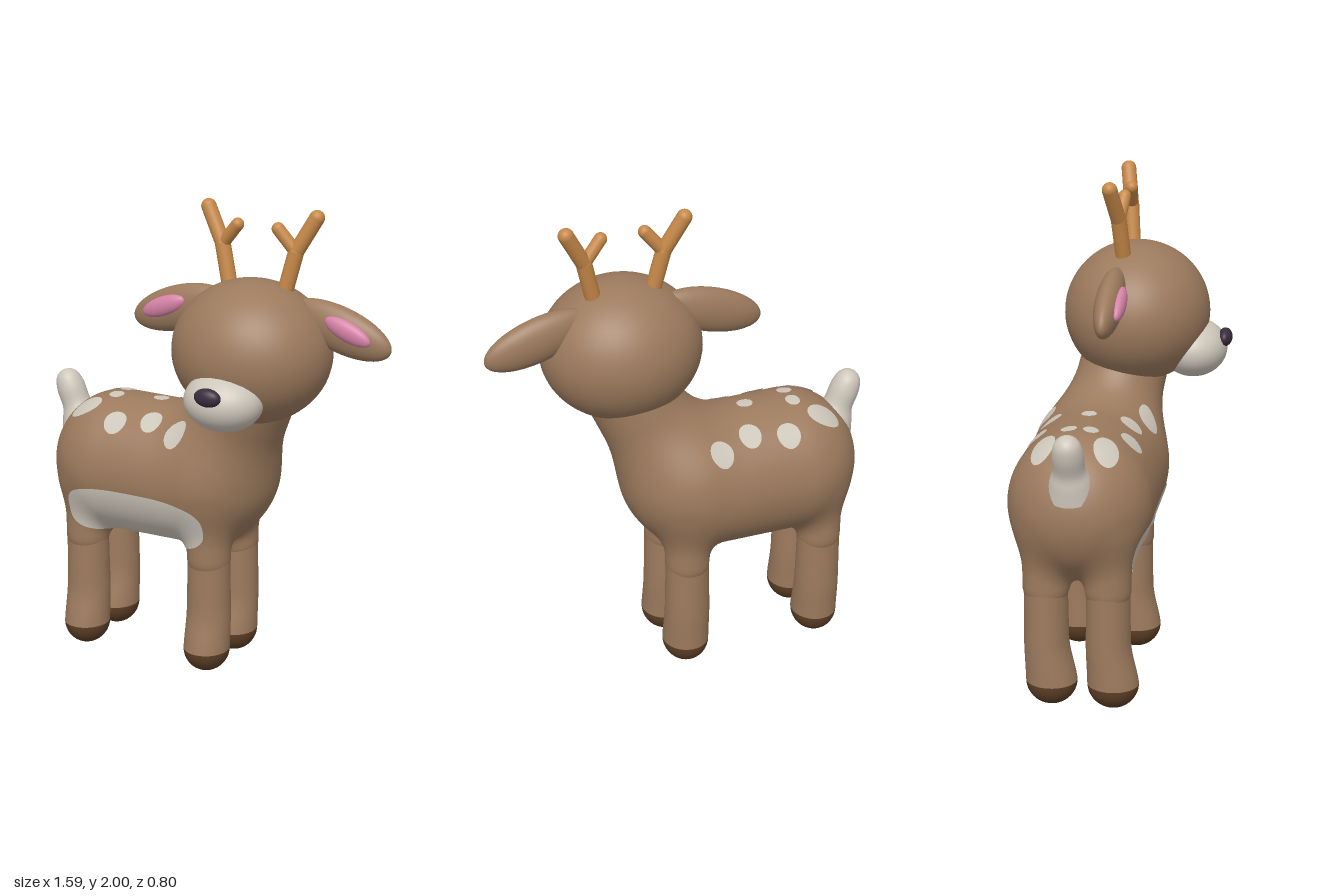
import * as THREE from 'three';

const V = (x, y, z) => new THREE.Vector3(x, y, z);
const mat = (name, color, side = THREE.FrontSide) => {
  const m = new THREE.MeshStandardMaterial({ color, side });
  m.name = name;
  return m;
};
const LEG_X = { rear: -0.57, front: 0.028 };
const LEG_Z = { left: 0.008, right: -0.24 };
const HEAD_X = 0.22;
const MID_Z = -0.118;

// ---- Torso form: a barrel, a neck and four leg roots blended smoothly ----
const smin = (a, b, k) => {
  const h = Math.max(k - Math.abs(a - b), 0) / k;
  return Math.min(a, b) - h * h * k * 0.25;
};
function taperedCapsule(x, y, z, a, b, ra, rb) {
  const dx = b.x - a.x, dy = b.y - a.y, dz = b.z - a.z;
  const px = x - a.x, py = y - a.y, pz = z - a.z;
  const t = Math.min(1, Math.max(0, (px * dx + py * dy + pz * dz) / (dx * dx + dy * dy + dz * dz)));
  return Math.hypot(px - t * dx, py - t * dy, pz - t * dz) - (ra + (rb - ra) * t);
}
const RUMP = V(-0.465, 0, MID_Z), CHEST = V(-0.05, 0, MID_Z);
const NECK_LOW = V(0.045, 0.9, -0.11), NECK_TOP = V(0.23, 1.3, -0.03);
const LEG_ROOTS = Object.values(LEG_X).flatMap(x => Object.values(LEG_Z).map(z => [V(x, 0.5, z), V(x, 0.72, z)]));

function torsoField(x, y, z) {
  let d = taperedCapsule(x, (y - 0.82) / 1.04, z, RUMP, CHEST, 0.287, 0.283);
  d = smin(d, taperedCapsule(x, y, z, NECK_LOW, NECK_TOP, 0.19, 0.18), 0.15);
  for (const [a, b] of LEG_ROOTS) d = smin(d, taperedCapsule(x, y, z, a, b, 0.092, 0.092), 0.06);
  return d;
}
function torsoNormal(x, y, z) {
  const e = 0.002, f = torsoField;
  return V(f(x + e, y, z) - f(x - e, y, z), f(x, y + e, z) - f(x, y - e, z), f(x, y, z + e) - f(x, y, z - e)).normalize();
}

function indexedGeometry(positions, normals, index) {
  const g = new THREE.BufferGeometry();
  g.setAttribute('position', new THREE.Float32BufferAttribute(positions, 3));
  g.setAttribute('normal', new THREE.Float32BufferAttribute(normals, 3));
  g.setIndex(index);
  return g;
}

// Turns the blended form into a mesh: one vertex per crossed cell, one quad per crossed edge
function torsoGeometry() {
  const s = 0.02, o = [-0.84, 0.36, -0.5], n = [68, 59, 40];
  const step = [1, n[0], n[0] * n[1]];
  const field = new Float32Array(n[0] * n[1] * n[2]);
  const each = fn => {
    for (let k = 0; k < n[2]; k++) for (let j = 0; j < n[1]; j++) for (let i = 0; i < n[0]; i++)
      fn([i, j, k], i + j * step[1] + k * step[2]);
  };
  each((c, id) => { field[id] = torsoField(o[0] + c[0] * s, o[1] + c[1] * s, o[2] + c[2] * s); });

  const positions = [], normals = [], index = [], cell = new Map();
  each((c, id) => {
    if (c.some((v, a) => v >= n[a] - 1)) return;
    const sum = [0, 0, 0];
    let hits = 0;
    for (let corner = 0; corner < 8; corner++) for (let a = 0; a < 3; a++) {
      if (corner >> a & 1) continue;
      const bits = [corner & 1, corner >> 1 & 1, corner >> 2 & 1];
      const from = id + bits[0] + bits[1] * step[1] + bits[2] * step[2];
      const f0 = field[from], f1 = field[from + step[a]];
      if ((f0 < 0) === (f1 < 0)) continue;
      bits[a] = f0 / (f0 - f1);
      bits.forEach((v, q) => { sum[q] += v; });
      hits++;
    }
    if (!hits) return;
    const p = V(...sum.map((v, q) => o[q] + (c[q] + v / hits) * s));
    const normal = torsoNormal(p.x, p.y, p.z);
    p.addScaledVector(normal, -torsoField(p.x, p.y, p.z));
    cell.set(id, positions.length / 3);
    positions.push(p.x, p.y, p.z);
    normals.push(normal.x, normal.y, normal.z);
  });
  each((c, id) => {
    for (let a = 0; a < 3; a++) {
      const b = (a + 1) % 3, d = (a + 2) % 3;
      if (c[a] >= n[a] - 1 || !c[b] || !c[d]) continue;
      const inside = field[id] < 0;
      if (inside === (field[id + step[a]] < 0)) continue;
      const q = [id - step[b] - step[d], id - step[d], id, id - step[b]].map(v => cell.get(v));
      if (q.some(v => v === undefined)) continue;
      if (!inside) q.reverse();
      index.push(q[0], q[1], q[2], q[0], q[2], q[3]);
    }
  });
  return indexedGeometry(positions, normals, index);
}

// A rounded patch dropped onto the torso along a direction, lying just above it
function patchGeometry(center, uAxis, vAxis, dir, power = 2, rings = 5, seg = 28) {
  const positions = [], normals = [], index = [];
  const bend = v => Math.sign(v) * Math.abs(v) ** (2 / power);
  for (let r = 0; r <= rings; r++) for (let i = 0; i < seg; i++) {
    const t = i / seg * Math.PI * 2;
    const p = center.clone().addScaledVector(uAxis, bend(Math.cos(t)) * r / rings)
      .addScaledVector(vAxis, bend(Math.sin(t)) * r / rings);
    for (let k = 0; k < 80; k++) p.addScaledVector(dir, torsoField(p.x, p.y, p.z) * 0.8);
    const normal = torsoNormal(p.x, p.y, p.z);
    p.addScaledVector(normal, 0.004);
    positions.push(p.x, p.y, p.z);
    normals.push(normal.x, normal.y, normal.z);
    if (r === rings) continue;
    const a = r * seg + i, b = r * seg + (i + 1) % seg;
    index.push(a, a + seg, b + seg, a, b + seg, b);
  }
  return indexedGeometry(positions, normals, index);
}

export function createModel() {
  const fur = mat('brown fur', 0x9c7a5d);
  const cream = mat('cream fur', 0xcdc6ba, THREE.DoubleSide);
  const pink = mat('pink inner ear', 0xd582a6);
  const horn = mat('antler tan', 0xc68848);
  const hoofBrown = mat('dark hoof', 0x5c3e25);
  const noseDark = mat('nose dark', 0x3a2c3c);

  const model = new THREE.Group();
  model.name = 'fawn';
  const add = (name, geometry, material, parent = model) => {
    const m = new THREE.Mesh(geometry, material);
    m.name = name;
    parent.add(m);
    return m;
  };
  const ellipsoid = (name, material, c, r, tilt = 0, parent = model) => {
    const m = add(name, new THREE.SphereGeometry(1, 48, 32), material, parent);
    m.position.set(...c);
    m.scale.set(...r);
    m.rotation.z = tilt;
    return m;
  };

  // Torso with neck
  add('torso', torsoGeometry(), fur);

  // Legs swing slightly forward at the foot and end in rounded hooves
  for (const [end, x] of Object.entries(LEG_X)) for (const [side, z] of Object.entries(LEG_Z)) {
    const leg = new THREE.Group();
    leg.name = `${end}${side === 'left' ? 'Left' : 'Right'}Leg`;
    leg.position.set(x, 0, z);
    model.add(leg);
    const g = new THREE.CylinderGeometry(0.09, 0.097, 0.42, 36, 14, true).translate(0, 0.31, 0);
    const p = g.attributes.position;
    for (let i = 0; i < p.count; i++) {
      const foot = 1 - THREE.MathUtils.smoothstep(p.getY(i), 0.07, 0.28);
      p.setZ(i, p.getZ(i) * (0.95 + 0.12 * foot) + 0.02 * foot);
    }
    g.computeVertexNormals();
    add('shank', g, fur, leg);
    const hoof = add('hoof', new THREE.SphereGeometry(1, 36, 14, 0, Math.PI * 2, Math.PI / 2, Math.PI / 2), hoofBrown, leg);
    hoof.position.set(0, 0.1, 0.019);
    hoof.scale.set(0.097, 0.1, 0.103);
  }

  // Pale flank patch on the near side
  add('bellyPatch', patchGeometry(V(-0.268, 0.656, 0.35), V(0.325, 0, 0), V(0, 0.122, 0), V(0, 0, -1), 2.9, 28, 80), cream);

  // Back spots: x, z, half width, half depth
  const spots = [
    [-0.565, 0, 0.068, 0.048], [-0.385, 0.068, 0.05, 0.04], [-0.225, 0.042, 0.047, 0.043], [-0.085, 0.088, 0.049, 0.036],
    [-0.565, -0.243, 0.068, 0.046], [-0.385, -0.305, 0.05, 0.04], [-0.225, -0.28, 0.047, 0.043], [-0.085, -0.324, 0.049, 0.036],
    [-0.465, -0.162, 0.03, 0.032], [-0.465, -0.076, 0.032, 0.03], [-0.27, -0.118, 0.034, 0.03],
  ];
  spots.forEach(([x, z, w, d], i) =>
    add(`backSpot${i + 1}`, patchGeometry(V(x, 1.25, z), V(w, 0, 0), V(0, 0, -d), V(0, -1, 0)), cream));

  // Tail, flared at the root
  const tailProfile = new THREE.SplineCurve([[0.1, -0.03], [0.08, 0.03], [0.062, 0.08], [0.061, 0.15], [0.05, 0.2], [0.027, 0.226], [0, 0.233]]
    .map(([x, y]) => new THREE.Vector2(x, y))).getPoints(30);
  tailProfile.forEach(p => { p.x = Math.max(p.x, 0); });
  const tail = add('tail', new THREE.LatheGeometry(tailProfile, 32), cream);
  tail.position.set(-0.668, 0.96, MID_Z);
  tail.rotation.z = 0.38;

  // Head, muzzle and nose
  const head = new THREE.Group();
  head.name = 'head';
  head.position.x = HEAD_X;
  model.add(head);
  ellipsoid('skull', fur, [0, 1.422, 0], [0.33, 0.291, 0.3], 0, head);
  ellipsoid('muzzle', cream, [0, 1.274, 0.235], [0.163, 0.119, 0.14], 0, head);
  ellipsoid('nose', noseDark, [0, 1.322, 0.366], [0.057, 0.037, 0.03], 0, head);

  // Ears and antlers, mirrored
  const limb = (name, a, b, r, parent) => {
    const m = add(name, new THREE.CapsuleGeometry(r, a.distanceTo(b), 8, 20), horn, parent);
    m.position.copy(a).lerp(b, 0.5);
    m.quaternion.setFromUnitVectors(V(0, 1, 0), b.clone().sub(a).normalize());
  };
  for (const s of [1, -1]) {
    const side = s > 0 ? 'left' : 'right';
    ellipsoid(`${side}Ear`, fur, [s * 0.36, 1.542, -0.056], [0.227, 0.093, 0.056], -0.3 * s, head);
    ellipsoid(`${side}InnerEar`, pink, [s * 0.412, 1.551, -0.008], [0.104, 0.04, 0.027], -0.38 * s, head);
    const antler = new THREE.Group();
    antler.name = `${side}Antler`;
    head.add(antler);
    const fork = V(s * 0.163, 1.83, -0.052);
    limb('beam', V(s * 0.122, 1.66, -0.038), fork, 0.032, antler);
    limb('mainTine', fork, V(s * 0.24, 1.969, -0.076), 0.031, antler);
    limb('shortTine', fork, V(s * 0.09, 1.917, -0.04), 0.026, antler);
  }
  return model;
}
